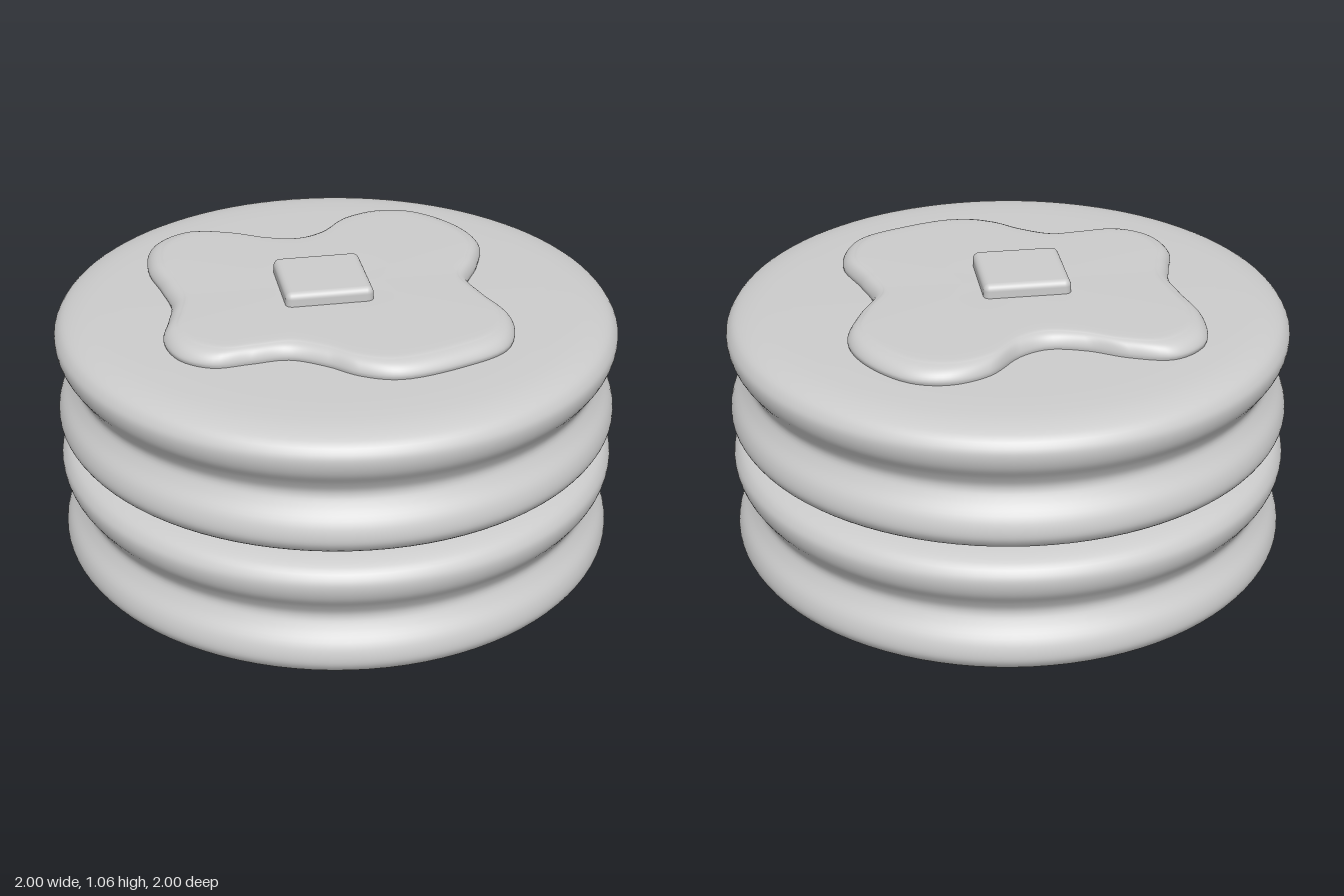
import * as THREE from 'three';
import { ParametricGeometry } from 'three/addons/geometries/ParametricGeometry.js';
import { RoundedBoxGeometry } from 'three/addons/geometries/RoundedBoxGeometry.js';

const PANCAKE_H = 0.476;

export function createModel() {
  const model = new THREE.Group();
  const material = new THREE.MeshStandardMaterial({ color: 0xcccccc });
  const add = (name, geometry, x, y, z) => {
    const mesh = new THREE.Mesh(geometry, material);
    mesh.name = name;
    mesh.position.set(x, y, z);
    model.add(mesh);
  };

  // Pancakes: rounded rims with a pinched waist, mirrored about mid height
  const half = [[0.75, 0.002], [0.88, 0.01], [0.96, 0.032], [0.993, 0.065],
    [1, 0.1], [0.987, 0.145], [0.953, 0.195]];
  const rim = [
    ...half.map(([r, y]) => new THREE.Vector2(r, y)),
    new THREE.Vector2(0.935, PANCAKE_H / 2),
    ...half.map(([r, y]) => new THREE.Vector2(r, PANCAKE_H - y)).reverse(),
  ];
  const profile = [
    new THREE.Vector2(0, 0), new THREE.Vector2(0.4, 0),
    ...new THREE.SplineCurve(rim).getPoints(56),
    new THREE.Vector2(0.4, PANCAKE_H), new THREE.Vector2(0, PANCAKE_H),
  ];
  const pancake = new THREE.LatheGeometry(profile, 96);
  add('lowerPancake', pancake, 0, 0, 0);
  add('upperPancake', pancake, 0, PANCAKE_H, 0);

  // Syrup: a wavy outline (x, z) shrunk inward along a rounded edge section
  const outline = new THREE.CatmullRomCurve3([
    [0.29, -0.645], [0.42, -0.61], [0.55, -0.46], [0.595, -0.3], [0.55, -0.15],
    [0.48, 0], [0.51, 0.15], [0.56, 0.33], [0.5, 0.5], [0.33, 0.59],
    [0.1, 0.64], [-0.03, 0.59], [-0.12, 0.51], [-0.24, 0.44], [-0.37, 0.445],
    [-0.5, 0.45], [-0.6, 0.38], [-0.64, 0.25], [-0.61, 0.12], [-0.585, 0],
    [-0.605, -0.15], [-0.635, -0.32], [-0.6, -0.49], [-0.48, -0.575],
    [-0.33, -0.54], [-0.2, -0.47], [-0.07, -0.44], [0.03, -0.48], [0.15, -0.6],
  ].map(([x, z]) => new THREE.Vector3(x, 0, z)), true);
  const section = new THREE.SplineCurve([
    [0.99, 0.94], [1, 0.965], [0.975, 0.99], [0.93, 1.004], [0.85, 1.01],
    [0.5, 1.012], [0.1, 1.012],
  ].map(([s, y]) => new THREE.Vector2(s, y)));
  const syrup = new ParametricGeometry((u, v, target) => {
    const p = outline.getPoint((2 - u) % 1);
    const s = section.getPoint(v);
    target.set(p.x * s.x, s.y, p.z * s.x);
  }, 174, 24);
  add('syrup', syrup, 0, 0, 0);

  // Butter pat, sunk slightly into the syrup
  add('butter', new RoundedBoxGeometry(0.31, 0.09, 0.31, 4, 0.024), -0.05, 1.016, 0.015);

  return model;
}
